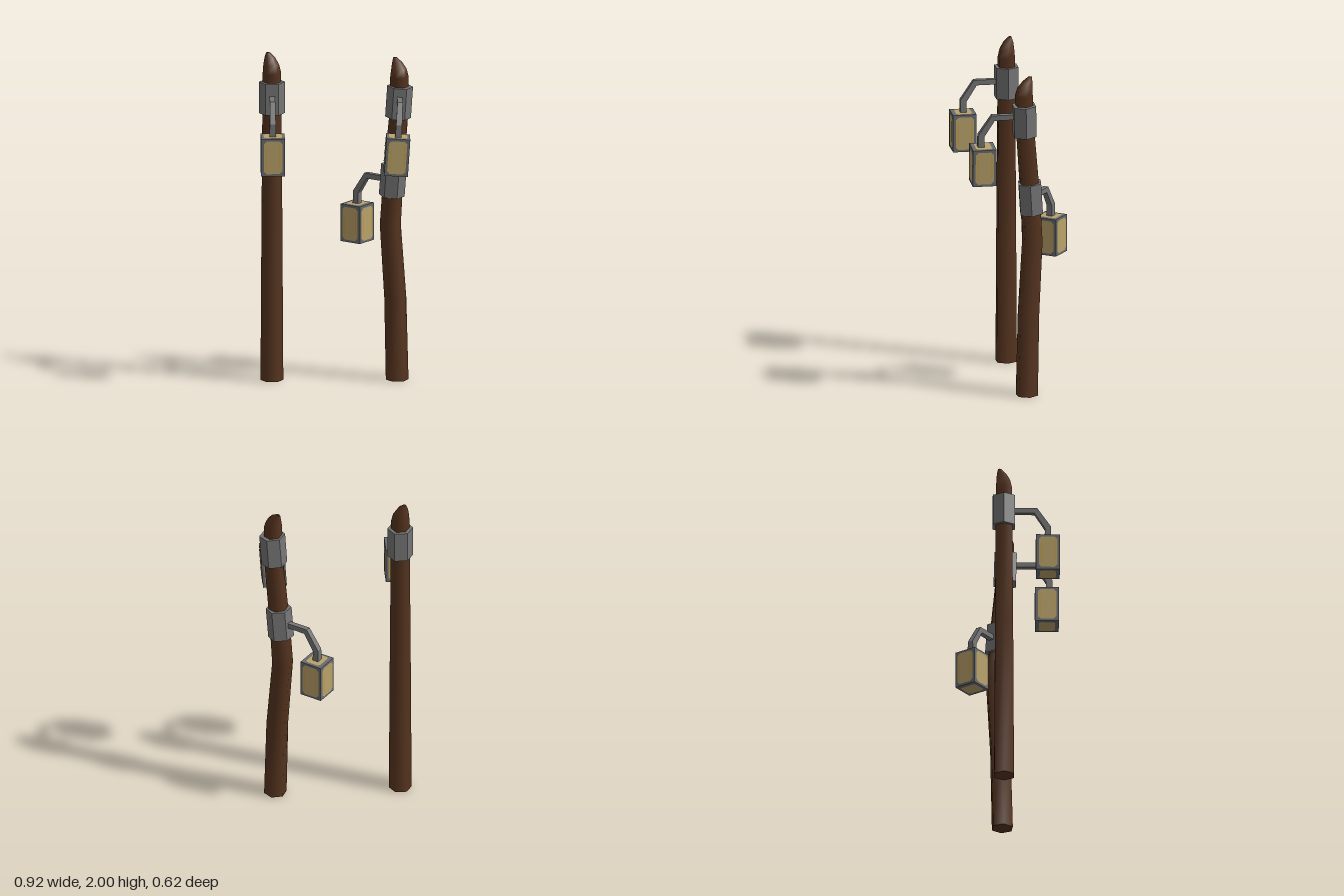
import * as THREE from 'three';

const mat = (name, color) => {
  const m = new THREE.MeshStandardMaterial({ color });
  m.name = name;
  return m;
};
const wood = mat('brown wood', 0x56341f);
const iron = mat('grey iron', 0x757575);
const frameGrey = mat('lantern frame grey', 0x696b6e);
const glass = mat('pale amber glass', 0xb9a26a);
const gold = mat('gold glow', 0xc39a45);

const V = (x, y, z) => new THREE.Vector3(x, y, z);

function add(parent, name, geometry, material) {
  const mesh = new THREE.Mesh(geometry, material);
  mesh.name = name;
  parent.add(mesh);
  return mesh;
}

// Closed skin through rings of points, each counter-clockwise about the path
function loft(rings, flat) {
  const n = rings[0].length, last = rings.length - 1, pos = [], idx = [];
  const push = ring => ring.forEach(p => pos.push(p.x, p.y, p.z));
  rings.forEach(push);
  for (let r = 0; r < last; r++) {
    for (let i = 0; i < n; i++) {
      const a = r * n + i, b = r * n + (i + 1) % n;
      idx.push(a, b, b + n, a, b + n, a + n);
    }
  }
  const start = rings.length * n, end = start + n;
  push(rings[0]);
  push(rings[last]);
  for (let i = 1; i < n - 1; i++) {
    idx.push(start, start + i + 1, start + i, end, end + i, end + i + 1);
  }
  let g = new THREE.BufferGeometry();
  g.setAttribute('position', new THREE.Float32BufferAttribute(pos, 3));
  g.setIndex(idx);
  if (flat) g = g.toNonIndexed();
  g.computeVertexNormals();
  return g;
}

// Six-sided trunk; each section is [x, y, z, radius]
function post(sections, turn) {
  return loft(sections.map(([x, y, z, r]) => Array.from({ length: 6 }, (_, i) => {
    const a = i * Math.PI / 3 + turn;
    return V(x + r * Math.cos(a), y, z - r * Math.sin(a));
  })));
}

// Square bar bent over and down, mitred at the bends
function armGeometry() {
  const path = [V(0, 0.005, 0.04), V(0, 0.005, 0.19), V(0, -0.105, 0.262), V(0, -0.18, 0.262)];
  const half = [0.016, 0.016, 0.018, 0.019];
  const dir = i => path[i + 1].clone().sub(path[i]).normalize();
  return loft(path.map((p, i) => {
    const d0 = dir(Math.max(i - 1, 0)), d1 = dir(Math.min(i, path.length - 2));
    const d = d0.clone().add(d1).normalize();
    const u = V(1, 0, 0), v = d.clone().cross(u);
    const stretch = 1 / d.dot(d0);
    return [[1, 1], [-1, 1], [-1, -1], [1, -1]].map(([s, t]) =>
      p.clone().addScaledVector(u, s * half[i]).addScaledVector(v, t * half[i] * stretch));
  }), true);
}

// Pane with clipped corners
function pane(w, h, c) {
  const s = new THREE.Shape([
    [w - c, -h], [w, c - h], [w, h - c], [w - c, h],
    [c - w, h], [-w, h - c], [-w, c - h], [c - w, -h],
  ].map(([x, y]) => new THREE.Vector2(x, y)));
  return new THREE.ShapeGeometry(s);
}

const W = 0.142, H = 0.228;

function lantern() {
  const g = new THREE.Group();
  g.name = 'lantern';
  add(g, 'lanternFrame', new THREE.BoxGeometry(W, H, W), frameGrey);
  // Side panes with narrow glowing streaks
  for (let i = 0; i < 4; i++) {
    const side = new THREE.Group();
    side.name = 'lanternSide';
    side.rotation.y = i * Math.PI / 2;
    add(side, 'sidePane', pane(0.055, 0.1, 0.016), glass).position.z = W / 2 + 0.002;
    for (const s of [-1, 1]) {
      add(side, 'glowStreak', pane(0.004, 0.065, 0.003), gold)
        .position.set(s * 0.041, 0.008 * s, W / 2 + 0.004);
    }
    g.add(side);
  }
  // Top and bottom panes
  for (const s of [-1, 1]) {
    const p = add(g, s > 0 ? 'topPane' : 'bottomPane', pane(0.054, 0.048, 0.012), glass);
    p.rotation.x = -s * Math.PI / 2;
    p.position.y = s * (H / 2 + 0.002);
  }
  return g;
}

// Collar round the post with an arm and a hanging lantern
function bracket(name, x, y, z, yaw, lean, collarLean, drop, reach) {
  const g = new THREE.Group();
  g.name = name;
  g.position.set(x, y, z);
  g.rotation.z = lean;
  const collarPivot = new THREE.Group();
  collarPivot.name = 'collarPivot';
  collarPivot.rotation.set(collarLean[0], 0, collarLean[1]);
  const collar = new THREE.CylinderGeometry(0.077, 0.077, 0.192, 6).toNonIndexed();
  collar.rotateY(Math.PI / 6 + yaw);
  collar.computeVertexNormals();
  add(collarPivot, 'collar', collar, iron);
  const hanger = new THREE.Group();
  hanger.name = 'hanger';
  hanger.rotation.y = yaw;
  hanger.position.y = drop;
  add(hanger, 'arm', armGeometry(), iron);
  const lamp = lantern();
  lamp.position.set(0, -0.29, reach);
  hanger.add(lamp);
  g.add(collarPivot, hanger);
  return g;
}

export function createModel() {
  const model = new THREE.Group();
  model.name = 'lampPosts';

  // Straight post with a blunt, off-centre point
  add(model, 'straightPost', post([
    [-0.38, 0, -0.03, 0.068],
    [-0.38, 1, -0.03, 0.062],
    [-0.38, 1.88, -0.031, 0.055],
    [-0.384, 1.93, -0.035, 0.047],
    [-0.392, 1.97, -0.045, 0.032],
    [-0.403, 2, -0.056, 0.011],
  ], 0), wood);

  // Crooked post
  add(model, 'crookedPost', post([
    [0.366, 0, -0.028, 0.068],
    [0.355, 0.5, -0.04, 0.066],
    [0.326, 0.94, -0.068, 0.063],
    [0.342, 1.215, -0.053, 0.061],
    [0.373, 1.6, -0.02, 0.057],
    [0.379, 1.86, -0.008, 0.055],
    [0.376, 1.905, -0.015, 0.046],
    [0.366, 1.942, -0.032, 0.03],
    [0.354, 1.967, -0.05, 0.011],
  ], 0.1), wood);

  const back = Math.atan2(-0.8, -0.6);
  model.add(
    bracket('straightPostLamp', -0.38, 1.73, -0.031, 0, 0, [0, 0], 0, 0.262),
    bracket('crookedPostUpperLamp', 0.377, 1.705, -0.011, 0, -0.065, [0.03, 0], 0.022, 0.248),
    bracket('crookedPostLowerLamp', 0.341, 1.215, -0.055, back, 0, [0.07, -0.07], -0.003, 0.262),
  );
  return model;
}
